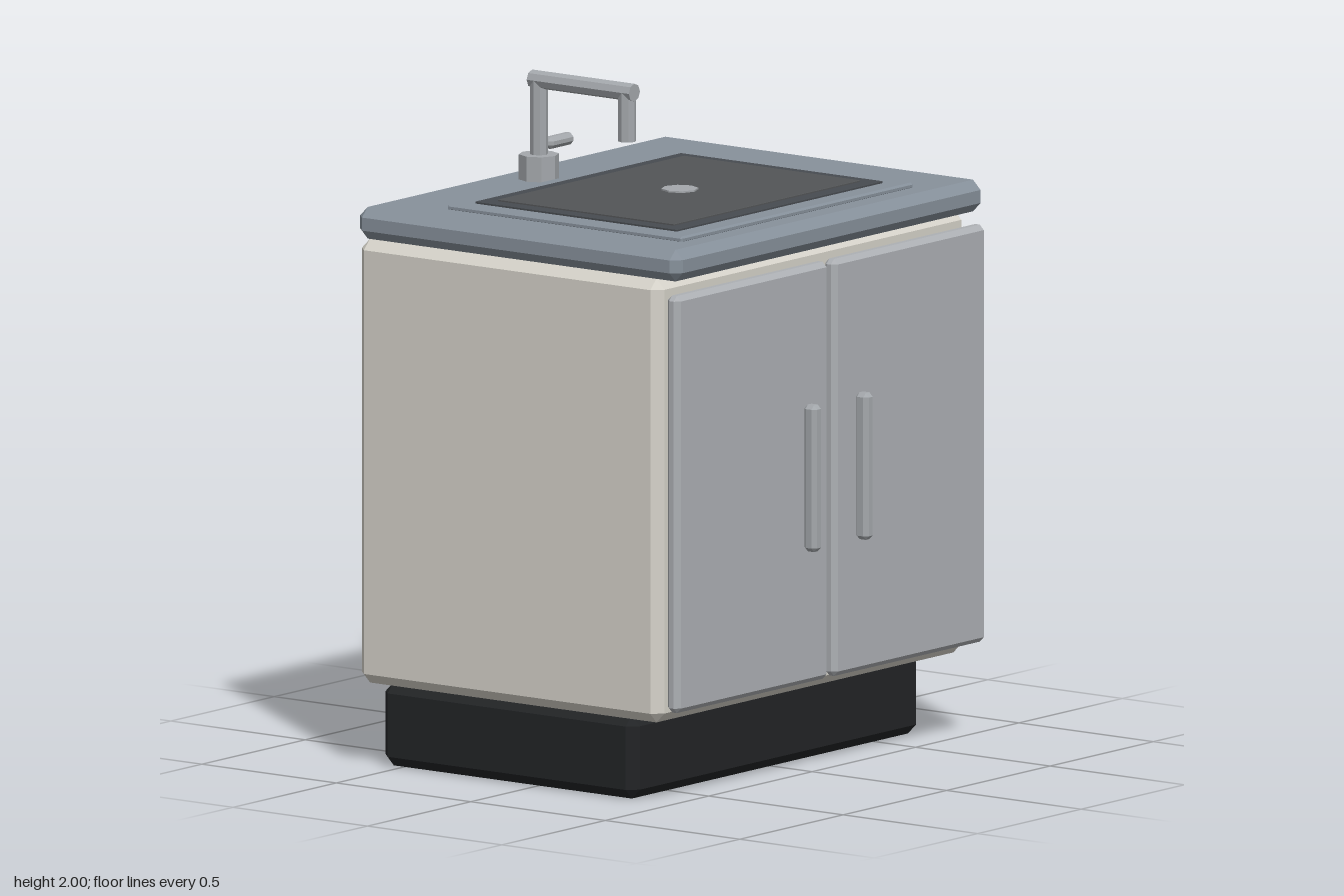
import * as THREE from 'three';
import { ConvexGeometry } from 'three/addons/geometries/ConvexGeometry.js';

const material = (color) => new THREE.MeshStandardMaterial({ color, flatShading: true });

// Box with flat chamfers on every edge, given as [min, max] spans per axis
function chamferBox(name, xs, ys, zs, bevel, mat) {
  const spans = [xs, ys, zs];
  const centre = spans.map(([a, b]) => (a + b) / 2);
  const half = spans.map(([a, b]) => (b - a) / 2);
  const points = [];
  for (const sx of [-1, 1]) for (const sy of [-1, 1]) for (const sz of [-1, 1]) {
    // each corner becomes three points, one lying on each adjoining face
    for (let axis = 0; axis < 3; axis++) {
      const p = half.map((h, i) => (i === axis ? h : h - bevel));
      points.push(new THREE.Vector3(sx * p[0], sy * p[1], sz * p[2]));
    }
  }
  const mesh = new THREE.Mesh(new ConvexGeometry(points), mat);
  mesh.name = name;
  mesh.position.set(...centre);
  return mesh;
}

// Eight-sided rod between two points
function rod(name, from, to, radius, mat) {
  const a = new THREE.Vector3(...from), b = new THREE.Vector3(...to);
  const dir = b.clone().sub(a);
  const mesh = new THREE.Mesh(new THREE.CylinderGeometry(radius, radius, dir.length(), 8), mat);
  mesh.name = name;
  mesh.position.copy(a).add(b).multiplyScalar(0.5);
  mesh.quaternion.setFromUnitVectors(new THREE.Vector3(0, 1, 0), dir.normalize());
  return mesh;
}

export function createModel() {
  const model = new THREE.Group();
  model.name = 'sinkCabinet';

  const black = material(0x222426);
  const cream = material(0xd6d3ca);
  const doorGrey = material(0xadb0b4);
  const stone = material(0x87919b);
  const metal = material(0xa4a8ac);
  const basinEdge = material(0x474b50);
  const basinDark = material(0x535557);

  // Cabinet
  model.add(chamferBox('plinth', [-0.7, 0.695], [0, 0.25], [-0.57, 0.375], 0.03, black));
  model.add(chamferBox('cabinetBody', [-0.75, 0.745], [0.25, 1.58], [-0.62, 0.505], 0.03, cream));
  model.add(chamferBox('countertop', [-0.75, 0.745], [1.58, 1.675], [-0.625, 0.575], 0.028, stone));

  // Double doors with upright pulls
  for (const [side, s] of [['left', 1], ['right', -1]]) {
    const xs = s > 0 ? [0.01, 0.745] : [-0.75, -0.015];
    model.add(chamferBox(side + 'Door', xs, [0.29, 1.54], [0.53, 0.577], 0.015, doorGrey));
    const x = s * 0.125;
    model.add(chamferBox(side + 'Handle', [x - 0.021, x + 0.021], [0.69, 1.13], [0.575, 0.622], 0.012, metal));
  }

  // Sink
  model.add(chamferBox('sinkRim', [-0.61, 0.51], [1.67, 1.69], [-0.39, 0.485], 0.006, stone));
  model.add(chamferBox('basin', [-0.55, 0.445], [1.68, 1.696], [-0.33, 0.42], 0.001, basinEdge));
  model.add(chamferBox('basinFloor', [-0.505, 0.395], [1.69, 1.701], [-0.28, 0.375], 0.001, basinDark));
  model.add(rod('drain', [-0.052, 1.69, 0.048], [-0.052, 1.706, 0.048], 0.055, metal));

  // Faucet
  const faucet = new THREE.Group();
  faucet.name = 'faucet';
  const x = -0.053, back = -0.475, tip = -0.147, top = 1.973, r = 0.027;
  faucet.add(
    rod('faucetBase', [x, 1.67, back], [x, 1.75, back], 0.06, metal),
    rod('riser', [x, 1.74, back], [x, top, back], r, metal),
    rod('spoutArm', [x, top, -0.5], [x, top, -0.12], r, metal),
    rod('spoutTip', [x, 1.825, tip], [x, top, tip], r, metal),
    chamferBox('lever', [-0.012, 0.107], [1.757, 1.793], [-0.498, -0.46], 0.012, metal)
  );
  model.add(faucet);

  return model;
}
